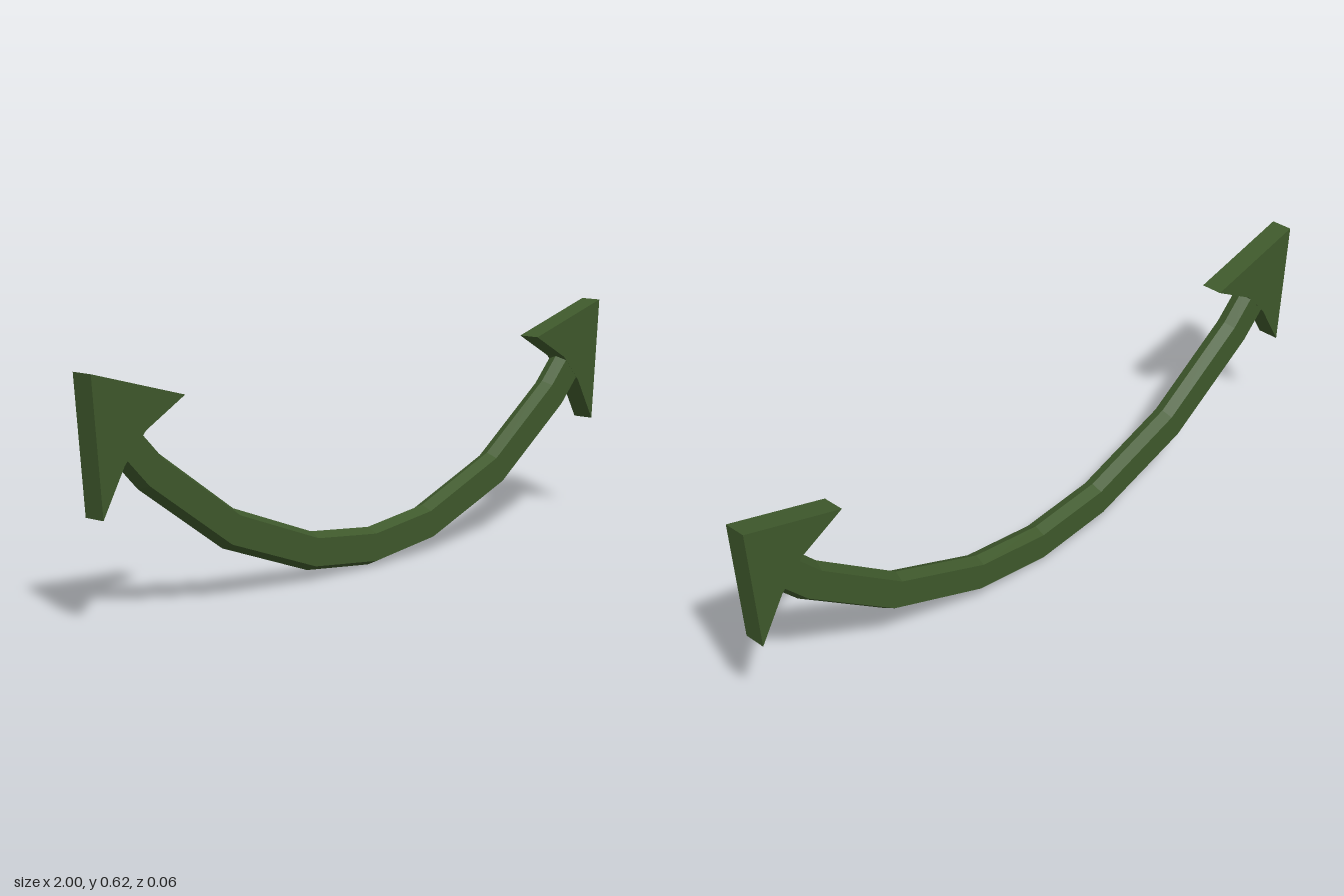
import * as THREE from 'three';

const HALF = 0.03; // half thickness
const BEVEL = 0.014; // inset of the flat faces from the ridges
const material = new THREE.MeshStandardMaterial({ color: 0x3f592c, flatShading: true });

// Curved shaft: hexagonal cross-sections with a ridge above and below
function shaft() {
  // lower x, y, upper x, y from the middle to one end
  const half = [
    [0, 0.003, 0, 0.105],
    [0.24, 0.03, 0.225, 0.13],
    [0.55, 0.14, 0.51, 0.235],
    [0.83, 0.33, 0.765, 0.41],
    [0.92, 0.42, 0.85, 0.495],
  ];
  const mirrored = half.slice(1).reverse().map(([a, b, c, d]) => [-a, b, -c, d]);
  const stations = [...mirrored, ...half];
  const positions = [];
  const index = [];
  stations.forEach(([lx, ly, ux, uy], i) => {
    const lower = new THREE.Vector2(lx, ly);
    const upper = new THREE.Vector2(ux, uy);
    const t = BEVEL / lower.distanceTo(upper);
    const ring = [[0, 0], [t, HALF], [1 - t, HALF], [1, 0], [1 - t, -HALF], [t, -HALF]];
    for (const [s, z] of ring) {
      const p = lower.clone().lerp(upper, s);
      positions.push(p.x, p.y, z);
    }
    if (i === 0) return;
    for (let j = 0; j < 6; j++) {
      const k = (j + 1) % 6;
      const a = (i - 1) * 6 + j, b = (i - 1) * 6 + k, c = i * 6 + k, d = i * 6 + j;
      index.push(a, d, c, a, c, b);
    }
  });
  const geometry = new THREE.BufferGeometry();
  geometry.setAttribute('position', new THREE.Float32BufferAttribute(positions, 3));
  geometry.setIndex(index);
  const flat = geometry.toNonIndexed();
  flat.computeVertexNormals();
  return new THREE.Mesh(flat, material);
}

// Flat barbed head; side is +1 or -1
function arrowHead(side) {
  const outline = [[1, 0.627], [0.7, 0.545], [0.83, 0.475], [0.9, 0.4], [0.97, 0.28]];
  const shape = new THREE.Shape(outline.map(([x, y]) => new THREE.Vector2(side * x, y)));
  const geometry = new THREE.ExtrudeGeometry(shape, { depth: 2 * HALF + 0.001, bevelEnabled: false });
  geometry.translate(0, 0, -HALF - 0.0005);
  return new THREE.Mesh(geometry, material);
}

export function createModel() {
  const group = new THREE.Group();
  group.name = 'curvedDoubleArrow';
  const curve = shaft();
  curve.name = 'curvedShaft';
  group.add(curve);
  for (const side of [1, -1]) {
    const head = arrowHead(side);
    head.name = side > 0 ? 'leftArrowHead' : 'rightArrowHead';
    group.add(head);
  }
  return group;
}
